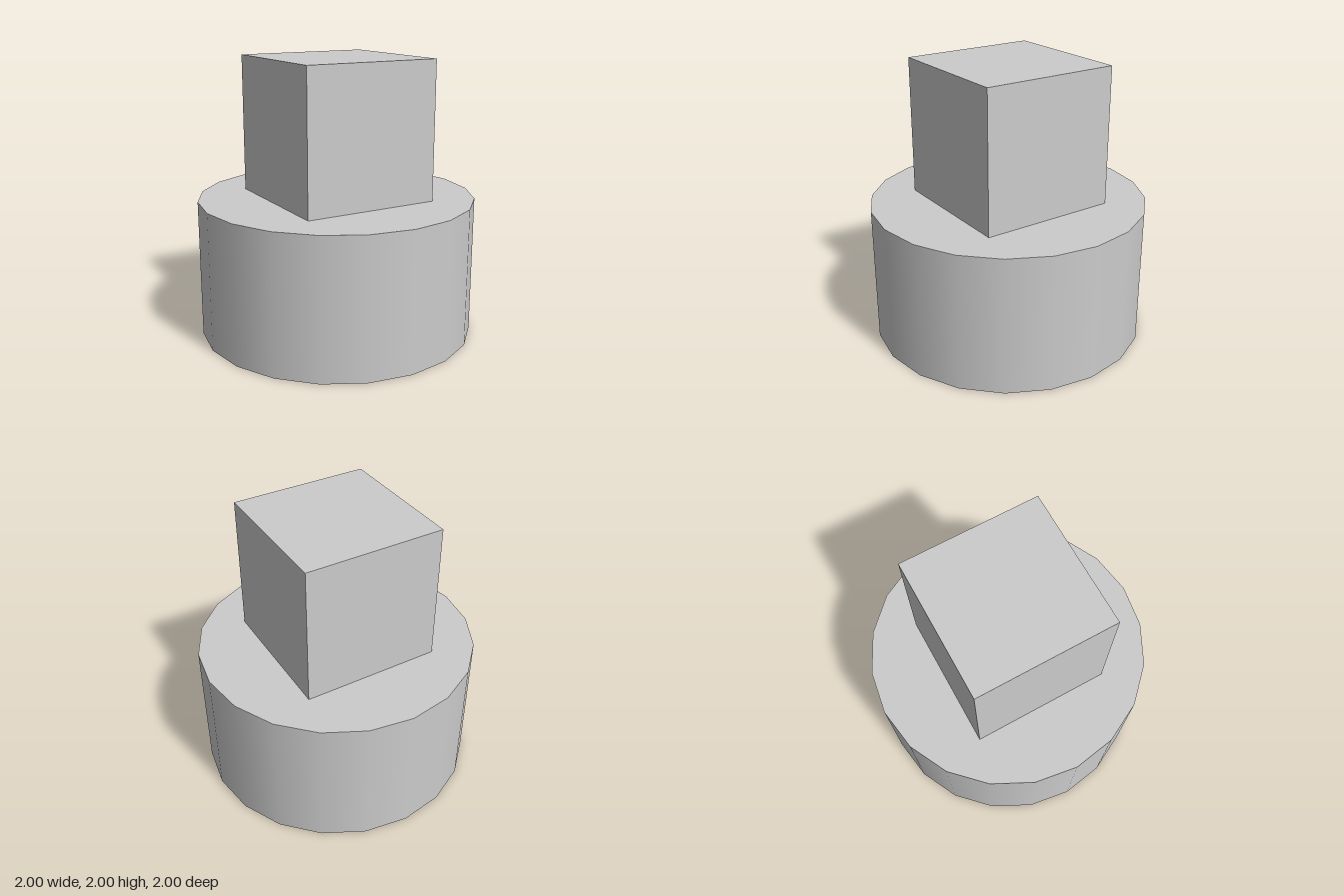
import * as THREE from 'three';

export function createModel() {
  const model = new THREE.Group();
  const material = new THREE.MeshStandardMaterial({ color: 0xcccccc });

  const add = (name, geometry, y) => {
    const mesh = new THREE.Mesh(geometry, material);
    mesh.name = name;
    mesh.position.y = y;
    model.add(mesh);
  };

  // Round base: 20-sided drum with smooth walls and flat caps
  add('base', new THREE.CylinderGeometry(1, 1, 1, 20), 0.5);

  // Cube standing centred on the base
  add('block', new THREE.BoxGeometry(1, 1, 1), 1.5);

  return model;
}
